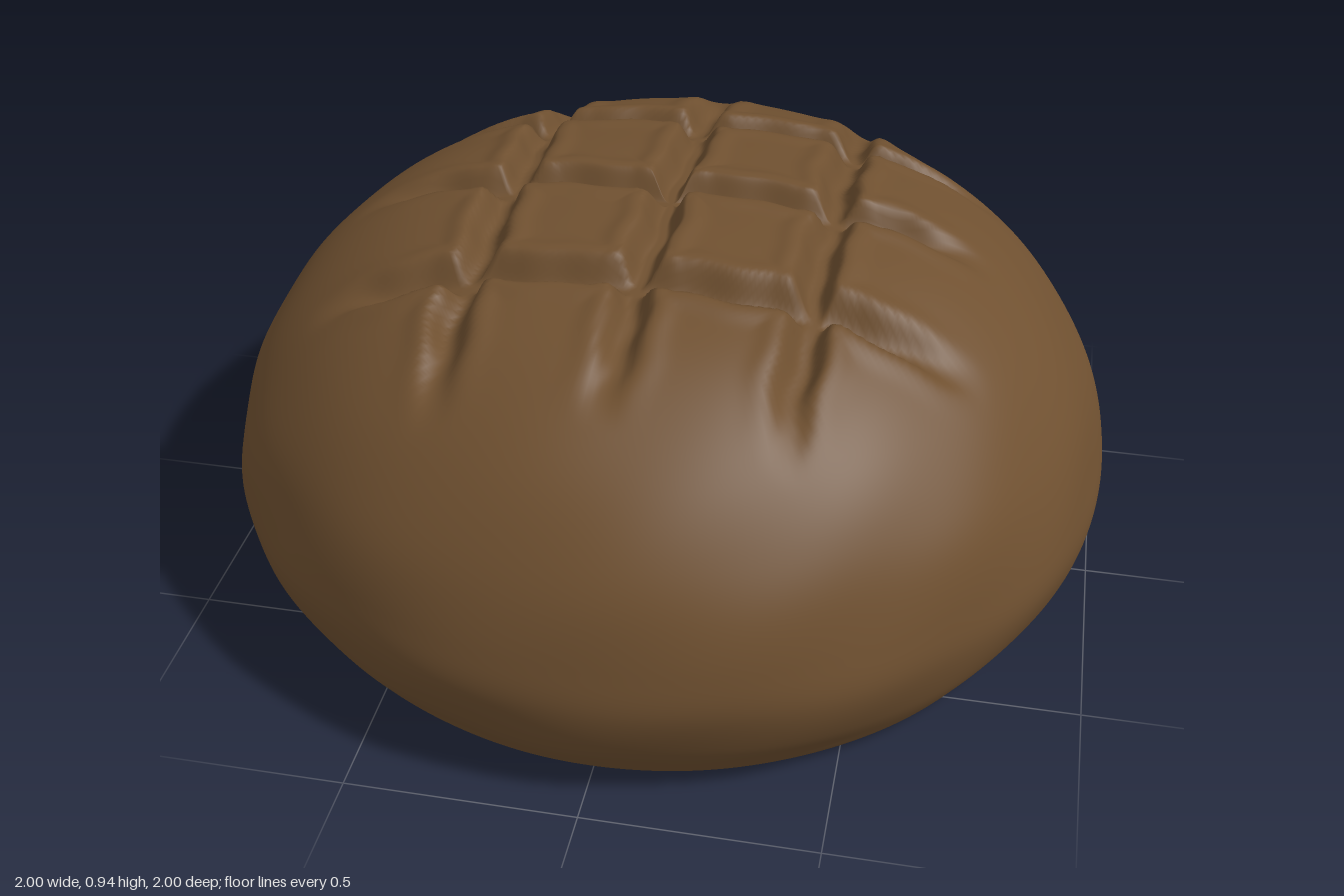
import * as THREE from 'three';

const SEGMENTS = 300, RINGS = 180, BASE_RADIUS = 0.83;
const smooth = THREE.MathUtils.smoothstep;

// Loaf outline as [radius, height], from the base edge to the crown
const outline = new THREE.CatmullRomCurve3([
  [BASE_RADIUS, 0], [0.87, 0.02], [0.91, 0.07], [0.965, 0.16], [1, 0.28], [0.99, 0.38], [0.955, 0.5],
  [0.9, 0.6], [0.82, 0.7], [0.72, 0.785], [0.6, 0.853], [0.45, 0.9], [0.25, 0.93], [0, 0.938],
].map(([r, y]) => new THREE.Vector3(r, y, 0)), false, 'centripetal');

// One scored line: cut depth and raised lip, fading out towards its ends
function score(across, along, centre, phase) {
  const waver = 0.005 * Math.sin(along * 17 + phase) + 0.003 * Math.sin(along * 43 + phase * 2);
  const d = Math.abs(across - centre + waver);
  const fade = 1 - smooth(Math.abs(along), 0.45, 0.74);
  return {
    cut: 0.055 * fade * (1 - smooth(d, 0.008, 0.05)),
    lip: 0.008 * fade * Math.exp(-(((d - 0.065) / 0.025) ** 2)),
  };
}

// Height change from the three by three grid of scores
function scoring(x, z) {
  let cut = 0, lip = 0;
  [-0.36, 0, 0.36].forEach((c, i) => {
    for (const s of [score(x, z, c, i * 2.1), score(z, x, c, i * 1.7 + 4)]) {
      cut = Math.max(cut, s.cut);
      lip = Math.max(lip, s.lip);
    }
  });
  return lip * (1 - cut / 0.055) - cut;
}

// Gentle hand-shaped unevenness of the crust
function unevenness(a, y) {
  return (Math.sin(a * 5 + y * 4) + Math.sin(a * 9 - y * 11 + 1) + Math.sin(a * 14 + y * 17 + 2)) / 3;
}

function crustGeometry() {
  const positions = [], index = [];
  for (let i = 0; i <= RINGS; i++) {
    const p = outline.getPointAt(i / RINGS);
    for (let j = 0; j < SEGMENTS; j++) {
      const a = (j / SEGMENTS) * Math.PI * 2;
      const r = p.x * (1 + 0.006 * (unevenness(a, p.y) - 0.3) * smooth(p.y, 0, 0.1));
      const x = r * Math.cos(a), z = r * Math.sin(a);
      const y = p.y + (p.y > 0.6 ? scoring(x, z) : 0);
      positions.push(x, y, z);
      if (i < RINGS) {
        const k = i * SEGMENTS, n = (j + 1) % SEGMENTS;
        index.push(k + j, k + SEGMENTS + j, k + n);
        if (i < RINGS - 1) index.push(k + n, k + SEGMENTS + j, k + SEGMENTS + n);
      }
    }
  }
  const geometry = new THREE.BufferGeometry();
  geometry.setAttribute('position', new THREE.Float32BufferAttribute(positions, 3));
  geometry.setIndex(index);
  geometry.computeVertexNormals();
  return geometry;
}

export function createModel() {
  const group = new THREE.Group();
  group.name = 'breadLoaf';
  const crustBrown = new THREE.MeshStandardMaterial({ color: 0x6f5030 });
  crustBrown.name = 'crust brown';

  // Domed crust with the scored top
  const crust = new THREE.Mesh(crustGeometry(), crustBrown);
  crust.name = 'scoredCrust';

  // Flat underside
  const base = new THREE.Mesh(new THREE.CircleGeometry(BASE_RADIUS, SEGMENTS), crustBrown);
  base.rotation.x = Math.PI / 2;
  base.name = 'flatBase';

  group.add(crust, base);
  return group;
}
